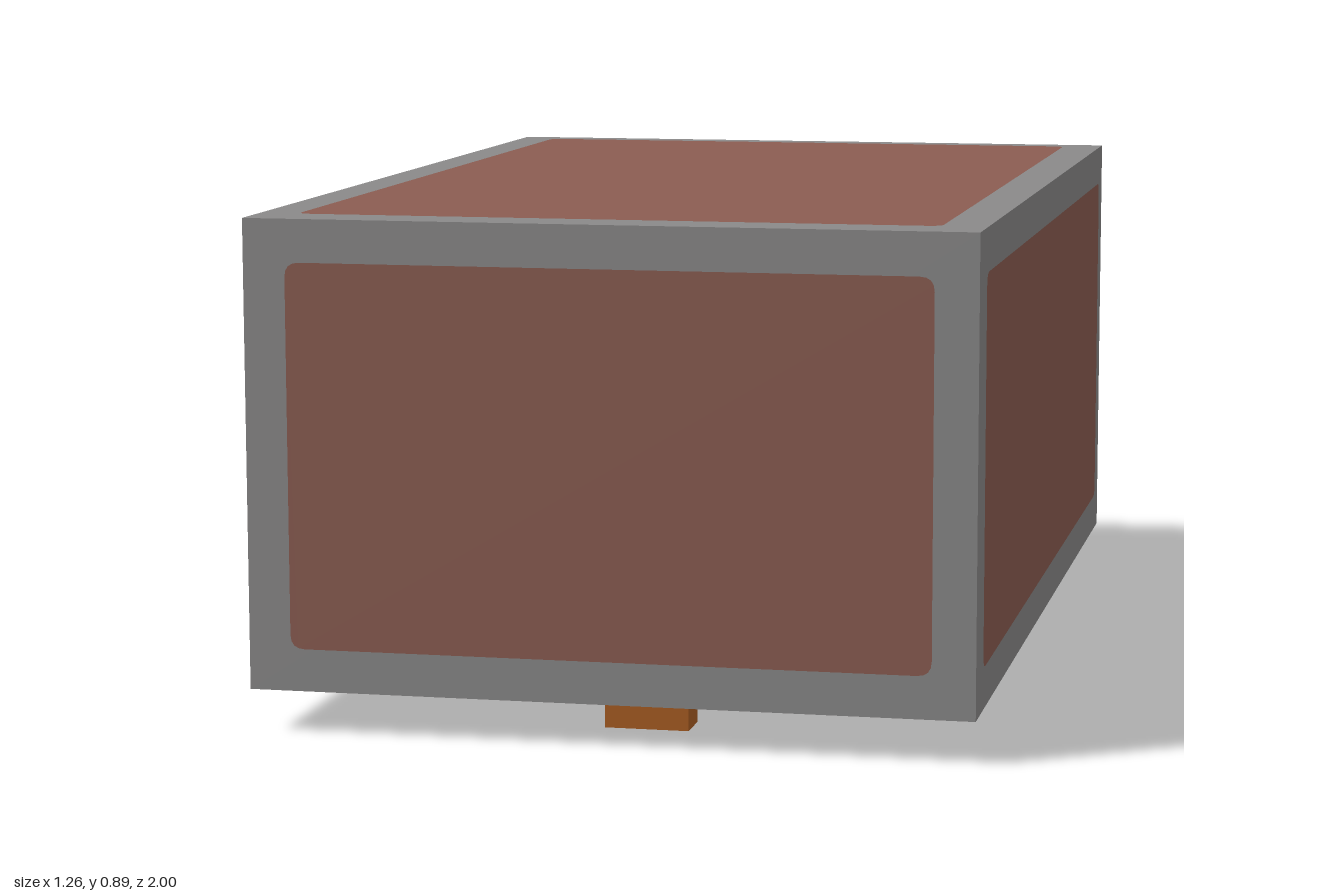
import * as THREE from 'three';

const U = 2 / 27; // one block
const BOX_W = 17, BOX_H = 11, BOX_D = 26;

const mat = (name, color) => {
  const m = new THREE.MeshStandardMaterial({ color });
  m.name = name;
  return m;
};

// Grid: a = blocks from the left (+x) edge, h = blocks above the underside, k = blocks from the back face
const gx = (a) => (BOX_W / 2 - a) * U;
const gy = (h) => (h + 1) * U;
const gz = (k) => -1 + (k + 1) * U;

function block(parent, name, material, [a0, a1], [h0, h1], [k0, k1]) {
  const mesh = new THREE.Mesh(
    new THREE.BoxGeometry((a1 - a0) * U, (h1 - h0) * U, (k1 - k0) * U), material);
  mesh.position.set(gx((a0 + a1) / 2), gy((h0 + h1) / 2), gz((k0 + k1) / 2));
  mesh.name = name;
  parent.add(mesh);
}

// Flat panel with softened corners, facing +z before it is turned
function panel(parent, name, material, w, h, r, position, rotation) {
  const s = new THREE.Shape();
  const x = w / 2, y = h / 2;
  s.moveTo(-x + r, -y);
  s.lineTo(x - r, -y).quadraticCurveTo(x, -y, x, -y + r);
  s.lineTo(x, y - r).quadraticCurveTo(x, y, x - r, y);
  s.lineTo(-x + r, y).quadraticCurveTo(-x, y, -x, y - r);
  s.lineTo(-x, -y + r).quadraticCurveTo(-x, -y, -x + r, -y);
  const mesh = new THREE.Mesh(new THREE.ShapeGeometry(s, 4), material);
  mesh.position.set(...position);
  mesh.rotation.set(...rotation);
  mesh.name = name;
  parent.add(mesh);
}

export function createModel() {
  const model = new THREE.Group();
  model.name = 'chest';
  const grey = mat('greyFrame', 0x8a8989);
  const brown = mat('brownPanel', 0x8b5d52);
  const orange = mat('orangeTrim', 0xa85c22);

  // Main box
  block(model, 'body', grey, [0, BOX_W], [0, BOX_H], [0, BOX_D]);

  // Inset-looking panels on all six sides
  const W = (BOX_W - 2) * U, H = (BOX_H - 2) * U, D = (BOX_D - 2) * U;
  const cy = gy(BOX_H / 2), cz = gz(BOX_D / 2), e = 0.002, r = 0.025;
  const q = Math.PI / 2;
  panel(model, 'frontPanel', brown, W, H, r, [0, cy, 1 + e], [0, 0, 0]);
  panel(model, 'backPanel', brown, W, H, r, [0, cy, gz(0) - e], [0, Math.PI, 0]);
  panel(model, 'leftPanel', brown, D, H, r, [gx(0) + e, cy, cz], [0, q, 0]);
  panel(model, 'rightPanel', brown, D, H, r, [gx(BOX_W) - e, cy, cz], [0, -q, 0]);
  panel(model, 'topPanel', brown, W, D, r, [0, gy(BOX_H) + e, cz], [-q, 0, 0]);
  panel(model, 'undersidePanel', brown, W, D, r, [0, gy(0) - e, cz], [q, 0, 0]);
  panel(model, 'undersideStrip', grey, U, 19 * U, r, [0, gy(0) - 2 * e, gz(9.5)], [q, 0, 0]);

  // Feet: each is a list of [a0, a1, k0, k1] rectangles
  const feet = [
    [[7, 9, 23, 24]],
    [[12, 14, 19, 20]],
    [[10, 12, 9, 11]],
    [[10, 13, 4, 7]],
    [[3, 5, 3, 4], [4, 5, 2, 3]],
    [[3, 6, 11, 13], [3, 4, 10, 11], [2, 3, 12, 13], [3, 4, 13, 14]],
  ];
  const g = 0.7; // margin of the painted patch around a foot
  feet.forEach((rects, n) => {
    const foot = new THREE.Group();
    foot.name = 'foot' + (n + 1);
    for (const [a0, a1, k0, k1] of rects) {
      block(foot, 'footBlock', orange, [a0, a1], [-1, 0], [k0, k1]);
      const at = [gx((a0 + a1) / 2), gy(0) - 3 * e, gz((k0 + k1) / 2)];
      const w = (a1 - a0) * U, d = (k1 - k0) * U;
      panel(foot, 'footPatch', orange, w + 2 * g * U, d, 0.01, at, [q, 0, 0]);
      panel(foot, 'footPatch', orange, w, d + 2 * g * U, 0.01, at, [q, 0, 0]);
    }
    model.add(foot);
  });

  // Arched clasp on the back
  const clasp = new THREE.Group();
  clasp.name = 'clasp';
  const out = [-1, 0];
  for (const a of [6, 10]) block(clasp, 'claspLeg', orange, [a, a + 1], [1, 5], out);
  for (const a of [7, 9]) {
    block(clasp, 'claspShoulder', orange, [a, a + 1], [4, 6], out);
    block(clasp, 'claspBase', brown, [a, a + 1], [0, 1], out);
  }
  block(clasp, 'claspCrown', orange, [8, 9], [5, 6], out);
  block(clasp, 'claspBaseCentre', grey, [8, 9], [0, 1], out);
  block(clasp, 'claspKnob', grey, [8, 9], [2, 3], out);
  // Painted backing seen through the arch
  panel(clasp, 'claspBacking', grey, 3 * U, 4 * U, 0.01, [0, gy(3), gz(0) - 2 * e], [0, Math.PI, 0]);
  panel(clasp, 'claspBackingMark', orange, U, U, 0.01, [0, gy(3.5), gz(0) - 3 * e], [0, Math.PI, 0]);
  model.add(clasp);

  return model;
}
